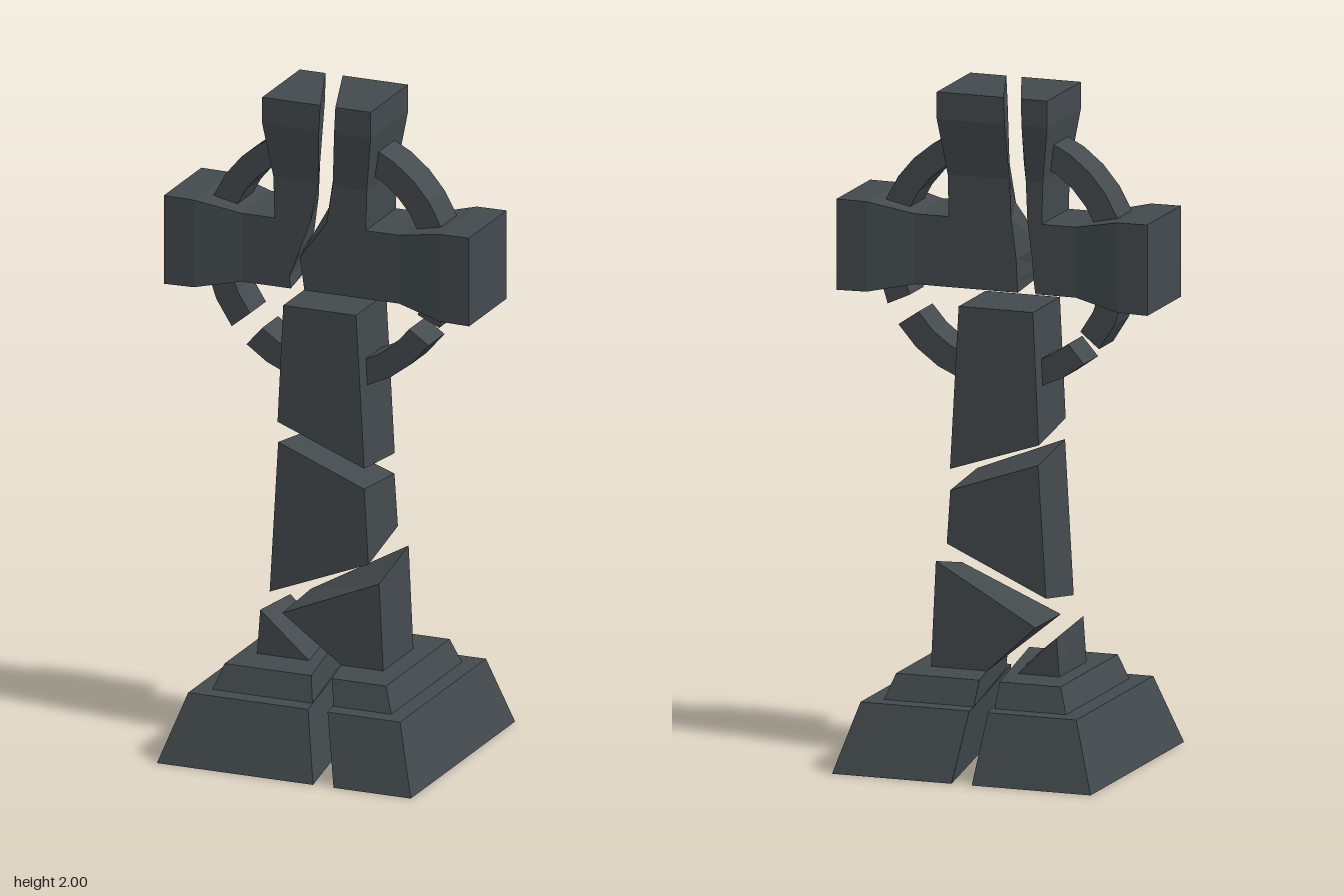
import * as THREE from 'three';

const stone = new THREE.MeshStandardMaterial({ color: 0x434a4d, flatShading: true });
stone.name = 'dark slate';

// Skin a list of equal-sized convex rings of [x, y, z] and cap both ends.
function loft(name, rings) {
  const tris = [];
  const n = rings[0].length;
  for (let r = 0; r + 1 < rings.length; r++) {
    const a = rings[r], b = rings[r + 1];
    for (let i = 0; i < n; i++) {
      const j = (i + 1) % n;
      tris.push([a[i], a[j], b[j]], [a[i], b[j], b[i]]);
    }
  }
  const first = rings[0], last = rings[rings.length - 1];
  for (let i = 1; i + 1 < n; i++) {
    tris.push([first[0], first[i + 1], first[i]], [last[0], last[i], last[i + 1]]);
  }
  // Turn every face outward if the rings ran the other way round
  const V = (p) => new THREE.Vector3(...p);
  const volume = tris.reduce((s, [a, b, c]) => s + V(a).dot(V(b).cross(V(c))), 0);
  if (volume < 0) tris.forEach((t) => t.reverse());
  const geo = new THREE.BufferGeometry();
  geo.setAttribute('position', new THREE.Float32BufferAttribute(tris.flat(2), 3));
  geo.computeVertexNormals();
  const mesh = new THREE.Mesh(geo, stone);
  mesh.name = name;
  return mesh;
}

// Block between a front outline and a back outline, both [x, y] lists
function slab(name, front, back, depth) {
  return loft(name, [front.map(([x, y]) => [x, y, depth]), back.map(([x, y]) => [x, y, -depth])]);
}

// Four-cornered level: outer side x, crack x at the front and at the back
const level = (y, outer, front, back, z) => [[outer, y, z], [front, y, z], [back, y, -z], [outer, y, -z]];

// Piece of the wheel between two angles in degrees
function ringArc(name, from, to) {
  const steps = Math.max(1, Math.round((to - from) / 11.25));
  const rings = [];
  for (let i = 0; i <= steps; i++) {
    const a = THREE.MathUtils.degToRad(from + ((to - from) * i) / steps);
    rings.push([[0.315, 0.058], [0.39, 0.058], [0.39, -0.058], [0.315, -0.058]].map(
      ([r, z]) => [r * Math.cos(a), 1.5 + r * Math.sin(a), z]));
  }
  return loft(name, rings);
}

export function createModel() {
  const model = new THREE.Group();
  model.name = 'brokenStoneCross';

  // Two-tier plinth, split in two by a slanting crack
  const plinth = new THREE.Group();
  plinth.name = 'plinth';
  plinth.add(
    loft('plinthRight', [
      level(0, -0.4, 0.095, -0.03, 0.38),
      level(0.205, -0.33, 0.05, -0.055, 0.313),
      level(0.205, -0.277, 0.04, -0.055, 0.258),
      level(0.28, -0.25, 0.025, -0.06, 0.232),
    ]),
    loft('plinthLeft', [
      level(0, 0.405, 0.16, 0.033, 0.38),
      level(0.205, 0.342, 0.112, 0.003, 0.313),
      level(0.205, 0.29, 0.107, 0.01, 0.258),
      level(0.28, 0.262, 0.09, 0.003, 0.232),
    ]));
  model.add(plinth);

  // Tapered shaft in four broken pieces
  const shaft = new THREE.Group();
  shaft.name = 'shaft';
  shaft.add(
    slab('shaftStump',
      [[-0.2, 0.28], [-0.035, 0.28], [-0.19, 0.415]],
      [[-0.2, 0.28], [-0.07, 0.28], [-0.19, 0.395]], 0.11),
    slab('shaftWedge',
      [[0.067, 0.28], [0.2, 0.28], [0.187, 0.545], [-0.12, 0.415]],
      [[0.025, 0.28], [0.2, 0.28], [0.185, 0.595], [-0.125, 0.42]], 0.11),
    slab('shaftMiddle',
      [[-0.16, 0.475], [0.153, 0.6], [0.14, 0.83], [-0.133, 0.938]],
      [[-0.158, 0.51], [0.151, 0.65], [0.14, 0.81], [-0.133, 0.905]], 0.11),
    slab('shaftUpper',
      [[-0.135, 1.0], [0.14, 0.893], [0.114, 1.36], [-0.117, 1.36]],
      [[-0.135, 0.965], [0.141, 0.873], [0.114, 1.36], [-0.117, 1.36]], 0.11));
  model.add(shaft);

  // Head: per level, y, outer half-width, half-depth, then crack x (front, back) of each half
  const profile = [
    [1.415, 0.145, 0.11, -0.093, -0.125, -0.05, -0.07],
    [1.45, 0.145, 0.11, -0.098, -0.12, -0.055, -0.068],
    [1.515, 0.145, 0.11, -0.072, -0.115, -0.065, -0.065],
    [1.63, 0.145, 0.11, -0.03, -0.1, 0.02, -0.05],
    [1.75, 0.148, 0.11, -0.005, -0.095, 0.04, -0.045],
    [1.92, 0.172, 0.137, 0.008, -0.092, 0.056, -0.04],
    [2.0, 0.172, 0.137, 0.013, -0.09, 0.06, -0.036],
  ];
  // Arm: x, bottom, top, half-depth
  const armProfile = [
    [0.145, 1.415, 1.625, 0.11],
    [0.25, 1.415, 1.625, 0.11],
    [0.39, 1.387, 1.655, 0.137],
    [0.484, 1.385, 1.656, 0.137],
  ];
  for (const [side, name, k] of [[-1, 'headRight', 3], [1, 'headLeft', 5]]) {
    const half = new THREE.Group();
    half.name = name;
    half.add(
      loft(name + 'Upright', profile.map((p) => level(p[0], side * p[1], p[k], p[k + 1], p[2]))),
      loft(name + 'Arm', armProfile.map(([x, lo, hi, z]) =>
        [[side * x, lo, z], [side * x, hi, z], [side * x, hi, -z], [side * x, lo, -z]])));
    model.add(half);
  }

  // Wheel, with breaks in its lower half
  const wheel = new THREE.Group();
  wheel.name = 'wheel';
  wheel.add(
    ringArc('wheelUpperLeft', 12, 68),
    ringArc('wheelUpperRight', 112, 168),
    ringArc('wheelStubRight', 192, 219),
    ringArc('wheelLowerRight', 229, 252),
    ringArc('wheelLowerLeft', 288, 325.5),
    ringArc('wheelStubLeft', 335.5, 350));
  model.add(wheel);

  return model;
}
